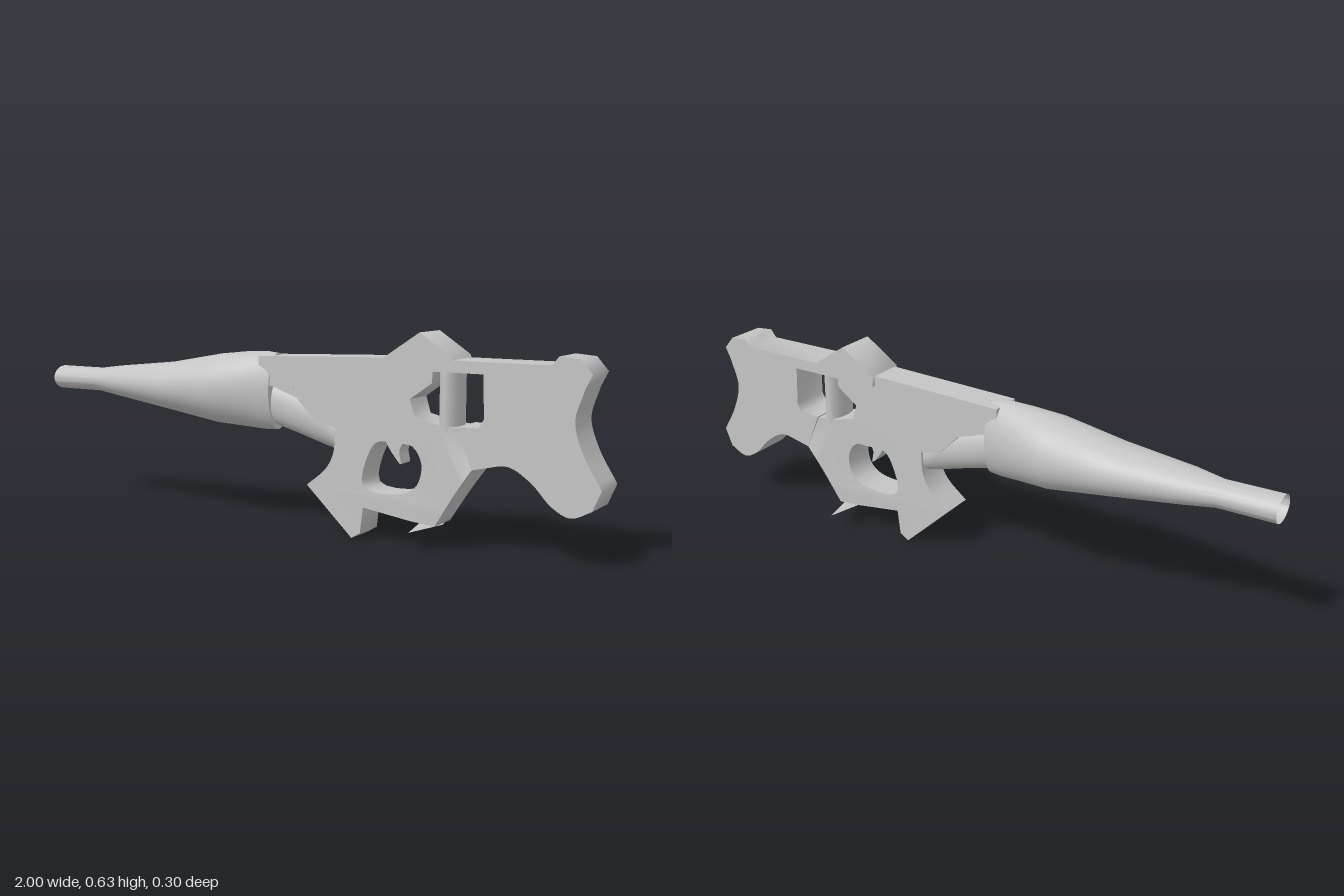
import * as THREE from 'three';
import { toCreasedNormals } from 'three/addons/utils/BufferGeometryUtils.js';

const grey = new THREE.MeshStandardMaterial({ color: 0xc4c4c4, side: THREE.DoubleSide });
grey.name = 'plain grey';

const points = (list) => list.map(([x, y]) => new THREE.Vector2(x, y));

// Smooth run of outline points through a few guides
const smooth = (list, closed = false) =>
  new THREE.CatmullRomCurve3(list.map(([x, y]) => new THREE.Vector3(x, y, 0)), closed, 'centripetal')
    .getPoints(list.length * 4).map((p) => [p.x, p.y]);

// Side profile given thickness across z; widthAt(x) is the half width
function slab(name, outline, widthAt, holes = []) {
  const shape = new THREE.Shape(points(outline));
  for (const hole of holes) shape.holes.push(new THREE.Path(points(hole)));
  const geo = new THREE.ExtrudeGeometry(shape, { depth: 2, bevelEnabled: false });
  geo.translate(0, 0, -1);
  const p = geo.attributes.position;
  for (let i = 0; i < p.count; i++) p.setZ(i, p.getZ(i) * widthAt(p.getX(i)));
  const mesh = new THREE.Mesh(toCreasedNormals(geo, 1.2), grey);
  mesh.name = name;
  return mesh;
}

// Elliptical rings [x, centreY, radiusY, radiusZ], open at the front and capped at the rear
function loft(name, rings, sides = 40) {
  const pos = [], index = [];
  for (const [x, cy, ry, rz] of rings) {
    for (let i = 0; i < sides; i++) {
      const a = (i / sides) * Math.PI * 2;
      pos.push(x, cy + ry * Math.cos(a), rz * Math.sin(a));
    }
  }
  for (let r = 0; r < rings.length - 1; r++) {
    for (let i = 0; i < sides; i++) {
      const j = (i + 1) % sides;
      const a = r * sides + i, b = r * sides + j, c = a + sides, d = b + sides;
      index.push(a, b, c, b, d, c);
    }
  }
  // Rear cap
  const last = rings[rings.length - 1], centre = pos.length / 3, base = (rings.length - 1) * sides;
  pos.push(last[0], last[1], 0);
  for (let i = 0; i < sides; i++) index.push(base + i, base + ((i + 1) % sides), centre);
  const geo = new THREE.BufferGeometry();
  geo.setAttribute('position', new THREE.Float32BufferAttribute(pos, 3));
  geo.setIndex(index);
  const mesh = new THREE.Mesh(toCreasedNormals(geo, 0.8), grey);
  mesh.name = name;
  return mesh;
}

export function createModel() {
  const model = new THREE.Group();
  model.name = 'toyRifle';

  // Swelling barrel shroud
  model.add(loft('barrel', [
    [-1, 0.428, 0.04, 0.053],
    [-0.82, 0.428, 0.04, 0.05],
    [-0.73, 0.428, 0.052, 0.073],
    [-0.5, 0.424, 0.08, 0.102],
    [-0.3, 0.427, 0.113, 0.115],
    [-0.2, 0.43, 0.121, 0.092],
    [-0.12, 0.43, 0.125, 0.072],
    [-0.08, 0.429, 0.122, 0.06],
  ]));

  // Receiver, front grip and trigger guard in one profile, widening where it meets the stock
  const triggerHole = smooth([
    [0.26, 0.165], [0.28, 0.27], [0.31, 0.305], [0.37, 0.305],
    [0.425, 0.3], [0.455, 0.25], [0.44, 0.185], [0.39, 0.155],
  ], true);
  model.add(slab('receiver', [
    [-0.12, 0.543], [0.34, 0.558], [0.49, 0.558], [0.485, 0.49], [0.415, 0.44],
    [0.43, 0.39], [0.5, 0.372], [0.62, 0.36], [0.67, 0.33], [0.67, 0.262],
    ...smooth([[0.62, 0.25], [0.57, 0.18], [0.5, 0.07]]),
    [0.42, 0.077], [0.26, 0.1], [0.25, 0.02], [0.22, 0.001],
    ...smooth([[0.06, 0.15], [0.13, 0.21], [0.155, 0.26], [0.16, 0.335]]),
    [0.09, 0.35], [0.02, 0.42], [-0.07, 0.45], [-0.12, 0.45],
  ], (x) => THREE.MathUtils.clamp(0.053 + (x - 0.5) * 0.1, 0.053, 0.0648), [triggerHole]));

  // Rounded strut under the receiver nose
  model.add(loft('lowerStrut', [
    [-0.12, 0.405, 0.072, 0.045],
    [0, 0.372, 0.07, 0.045],
    [0.1, 0.343, 0.07, 0.045],
    [0.18, 0.3, 0.046, 0.045],
  ]));

  // Trigger
  model.add(slab('trigger', smooth([[0.32, 0.31], [0.345, 0.272], [0.375, 0.24], [0.37, 0.28], [0.385, 0.31]]), () => 0.03));

  // Wide shoulder stock with its top rail
  model.add(slab('stock', [
    [0.34, 0.56], [0.85, 0.56], [0.87, 0.585], [0.93, 0.58], [0.965, 0.54],
    ...smooth([[0.945, 0.5], [0.92, 0.41], [0.945, 0.325], [1, 0.23]]),
    ...smooth([[0.975, 0.17], [0.915, 0.145], [0.86, 0.17], [0.8, 0.23], [0.73, 0.27], [0.66, 0.26]]),
    [0.62, 0.25], [0.6, 0.3], [0.57, 0.37], [0.64, 0.372], [0.655, 0.4], [0.65, 0.525], [0.34, 0.525],
  ], () => 0.065));

  // Pointed sight housing over the rail
  model.add(slab('sight', [
    [0.335, 0.56], [0.45, 0.636], [0.55, 0.57], [0.57, 0.525], [0.335, 0.525],
  ], () => 0.0655));

  // Round post standing in the window
  const post = new THREE.Mesh(new THREE.CylinderGeometry(0.032, 0.032, 0.18, 24), grey);
  post.position.set(0.528, 0.444, 0);
  post.scale.z = 1.85;
  post.name = 'windowPost';
  model.add(post);

  // Thin cross spikes: one under the guard, a small one on the receiver
  const spikes = [
    ['guardSpike', 0.465, 0.066, 0.036, 0.011, 0.15],
    ['receiverSpike', 0.01, 0.452, 0.012, 0.006, 0.07],
  ];
  for (const [name, x, y, sx, sy, sz] of spikes) {
    const spike = new THREE.Mesh(new THREE.OctahedronGeometry(1), grey);
    spike.position.set(x, y, 0);
    spike.scale.set(sx, sy, sz);
    spike.name = name;
    model.add(spike);
  }

  return model;
}
